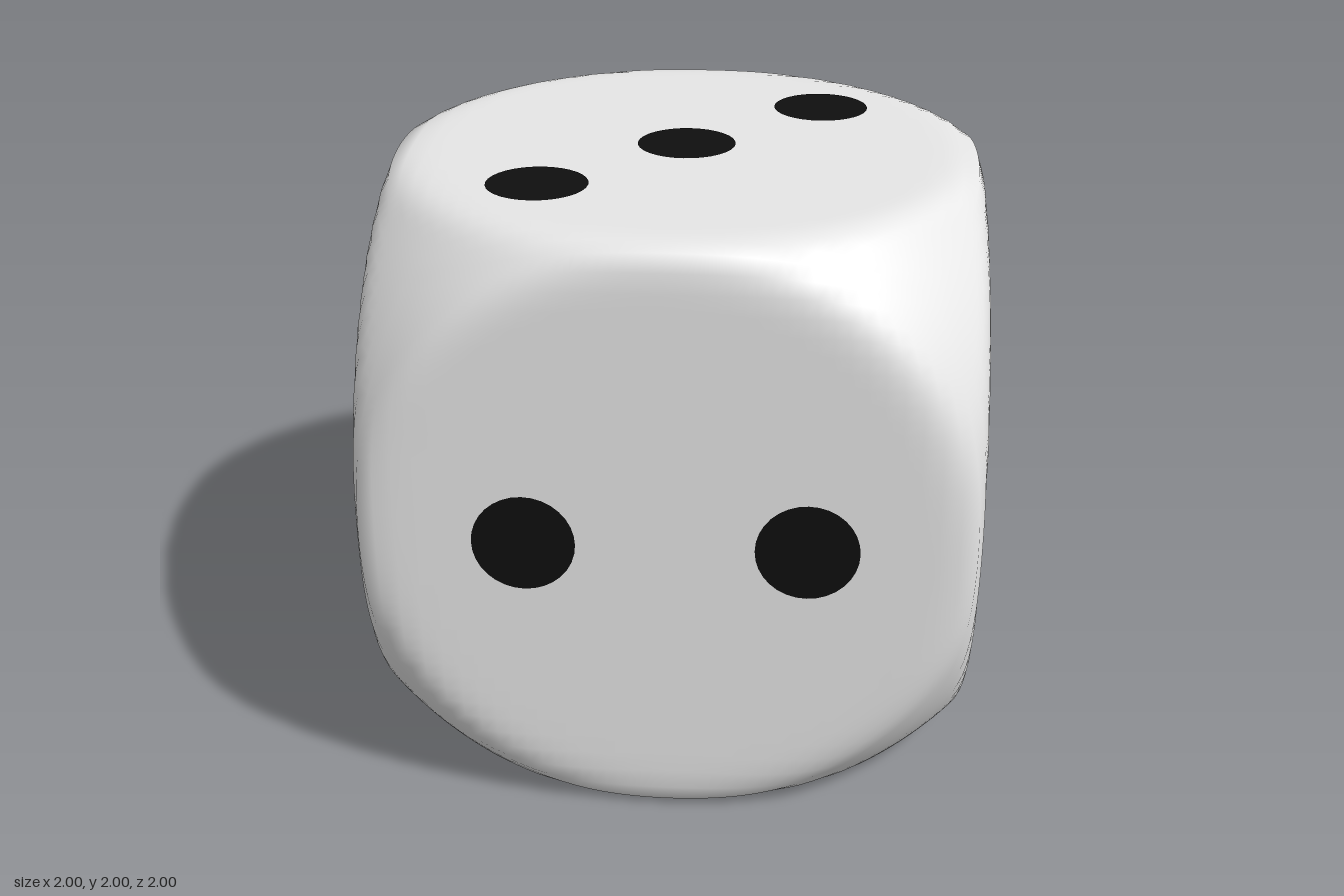
import * as THREE from 'three';
import { mergeVertices } from 'three/addons/utils/BufferGeometryUtils.js';

const HALF = 0.998;   // half the width of the cube
const ROUND = 1.39;   // radius of the sphere that trims the corners
const BLEND = 0.06;   // softness of the rim between flat face and rounding

// Cube trimmed by a sphere, with a soft rim around every flat face
function bodyGeometry() {
  let geo = new THREE.BoxGeometry(2, 2, 2, 40, 40, 40);
  geo.deleteAttribute('uv');
  geo.deleteAttribute('normal');
  geo = mergeVertices(geo, 1e-4);
  const pos = geo.attributes.position;
  const v = new THREE.Vector3();
  for (let i = 0; i < pos.count; i++) {
    v.fromBufferAttribute(pos, i);
    // spread the grid evenly by angle
    v.set(...v.toArray().map((c) => Math.tan(c * Math.PI / 4)));
    const cube = v.length();
    const h = Math.max(BLEND - Math.abs(cube - ROUND), 0) / BLEND;
    v.setLength((Math.min(cube, ROUND) - h * h * BLEND / 4) * HALF);
    pos.setXYZ(i, v.x, v.y, v.z);
  }
  geo.computeVertexNormals();
  return geo;
}

export function createModel() {
  const ivory = new THREE.MeshStandardMaterial({ color: 0xe7e7e7 });
  ivory.name = 'white body';
  const black = new THREE.MeshStandardMaterial({ color: 0x0f0f0f });
  black.name = 'black pips';

  const die = new THREE.Group();
  die.name = 'die';
  const body = new THREE.Mesh(bodyGeometry(), ivory);
  body.name = 'body';
  die.add(body);

  // Pip layouts in each face's own plane, and the turn that places the face
  const s = 0.447;
  const corners = [[-s, -s], [s, -s], [-s, s], [s, s]];
  const q = Math.PI / 2;
  const faces = [
    ['rightFacePip', [0, q, 0], [[0, 0]]],
    ['frontFacePips', [0, 0, 0], [[-s, 0], [s, 0]]],
    ['topFacePips', [-q, 0, 0], [[-s, -s], [0, 0], [s, s]]],
    ['bottomFacePips', [q, 0, 0], corners],
    ['backFacePips', [0, 2 * q, 0], [...corners, [0, 0]]],
    ['leftFacePips', [0, -q, 0], [...corners, [-s, 0], [s, 0]]],
  ];
  const disc = new THREE.CircleGeometry(0.165, 32);
  for (const [name, turn, spots] of faces) {
    const face = new THREE.Group();
    face.name = name;
    face.rotation.set(...turn);
    for (const [x, y] of spots) {
      const pip = new THREE.Mesh(disc, black);
      pip.name = 'pip';
      pip.position.set(x, y, 1);
      face.add(pip);
    }
    die.add(face);
  }
  die.position.y = 1;

  const model = new THREE.Group();
  model.name = 'model';
  model.add(die);
  return model;
}
